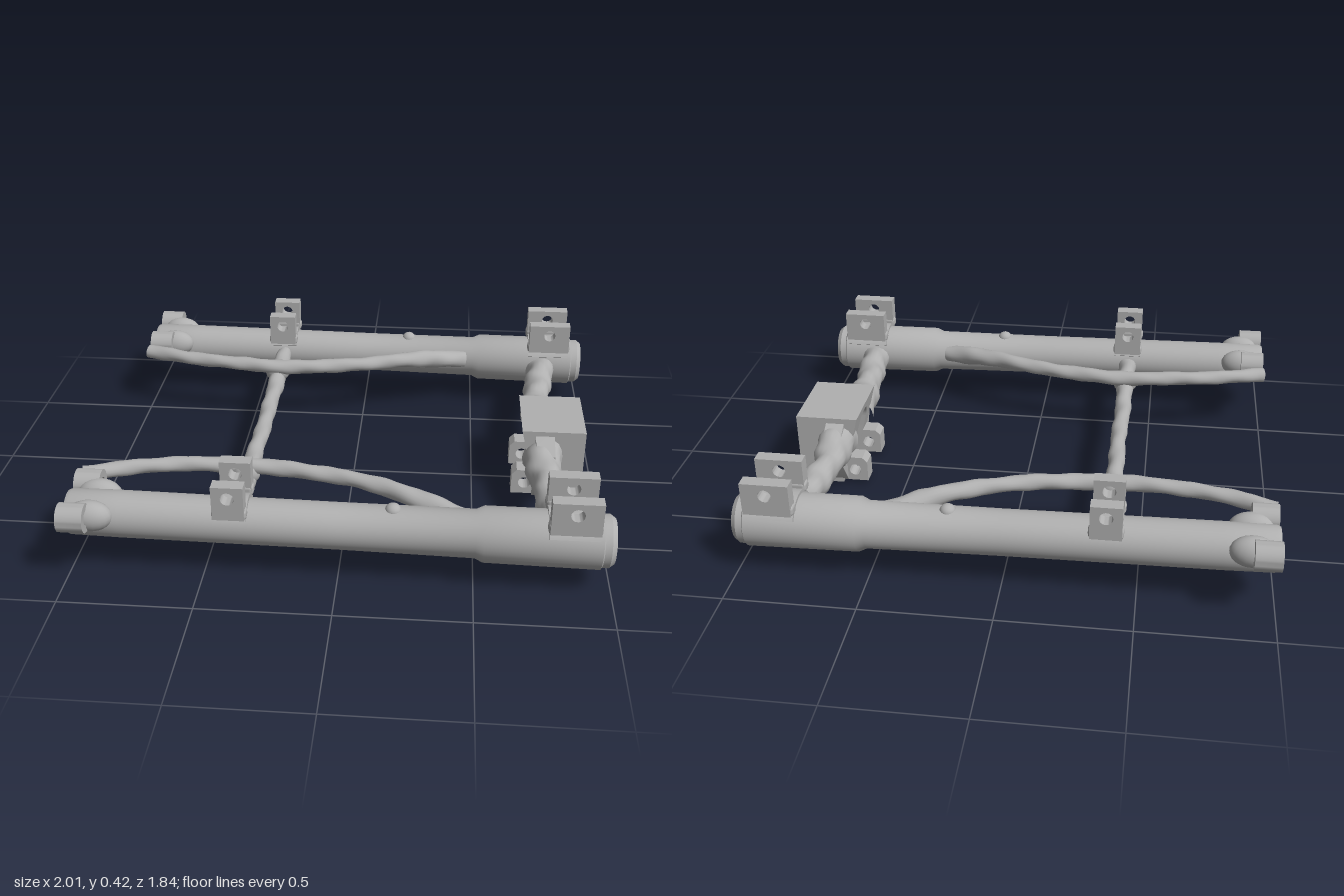
import * as THREE from 'three';
import { mergeVertices, toCreasedNormals } from 'three/addons/utils/BufferGeometryUtils.js';
import { RoundedBoxGeometry } from 'three/addons/geometries/RoundedBoxGeometry.js';

const grey = new THREE.MeshStandardMaterial({ color: 0xb0b0b0 });
grey.name = 'castGrey';

const TILT = 0.0135;
const railY = (x) => 0.209 - TILT * x;

function add(parent, name, geometry, x = 0, y = 0, z = 0) {
  const mesh = new THREE.Mesh(geometry, grey);
  mesh.name = name;
  mesh.position.set(x, y, z);
  parent.add(mesh);
  return mesh;
}

// Outline from [u, v] pairs
const polygon = (pts) => new THREE.Shape(pts.map(([u, v]) => new THREE.Vector2(u, v)));

function roundHole(shape, u, v, r) {
  shape.holes.push(new THREE.Path().absarc(u, v, r, 0, Math.PI * 2, true));
  return shape;
}

function extrude(shape, depth) {
  const g = new THREE.ExtrudeGeometry(shape, { depth, bevelEnabled: false, curveSegments: 20 });
  return toCreasedNormals(g, 0.6);
}

// Extrusion along x; the outline's u axis becomes -z
function extrudeX(shape, x0, x1) {
  return extrude(shape, x1 - x0).rotateY(Math.PI / 2).translate(x0, 0, 0);
}

// Uneven organic tube through [x, y, z, radius] stations
function lumpyTube(stations, amount, seed) {
  const curve = new THREE.CatmullRomCurve3(stations.map(([x, y, z]) => new THREE.Vector3(x, y, z)));
  const steps = 72, sides = 18;
  const g = new THREE.TubeGeometry(curve, steps, 1, sides, false);
  const p = g.attributes.position, n = g.attributes.normal;
  const length = curve.getLength();
  for (let i = 0; i <= steps; i++) {
    // the tube spaces its rings by arc length
    const t = curve.getUtoTmapping(i / steps) * (stations.length - 1);
    const k = Math.min(Math.floor(t), stations.length - 2);
    const r = THREE.MathUtils.lerp(stations[k][3], stations[k + 1][3], t - k);
    const d = (i / steps) * length;
    for (let j = 0; j <= sides; j++) {
      const a = (j / sides) * Math.PI * 2, id = i * (sides + 1) + j;
      const lump = Math.sin(d * 31 + 2 * a + seed) + 0.7 * Math.sin(d * 53 - 3 * a + seed * 2.3)
        + 0.5 * Math.sin(d * 17 + a + seed * 4.1);
      const shift = r * (1 + amount * lump) - 1;
      p.setXYZ(id, p.getX(id) + n.getX(id) * shift, p.getY(id) + n.getY(id) * shift, p.getZ(id) + n.getZ(id) * shift);
    }
  }
  g.deleteAttribute('normal');
  g.deleteAttribute('uv');
  const merged = mergeVertices(g, 1e-5);
  merged.computeVertexNormals();
  return merged;
}

// Hollow side rail with a thicker sleeve and a chamfered collar
function addRail(group, z) {
  const profile = [
    [0.058, -1], [0.08, -1], [0.086, -0.985], [0.088, -0.8], [0.087, 0], [0.09, 0.5],
    [0.104, 0.53], [0.106, 0.95], [0.098, 0.955], [0.098, 0.98], [0.085, 0.998],
    [0.062, 0.998], [0.058, 0.99], [0.058, -1],
  ].map(([r, h]) => new THREE.Vector2(r, h));
  const geo = toCreasedNormals(new THREE.LatheGeometry(profile, 40), 0.5);
  const rail = add(group, 'sideRail', geo, 0, 0.209, z);
  rail.rotation.z = -Math.PI / 2 - TILT;

  const knob = add(group, 'railKnob', new THREE.SphereGeometry(0.03, 16, 12), 0.2, railY(0.2) + 0.081, z);
  knob.scale.set(1, 0.9, 1);
}

// Drilled ears at the narrow end of a rail
function addEndLugs(group, z) {
  for (const side of [-1, 1]) {
    const lugZ = z + side * 0.119, lugY = 0.272;
    const ear = roundHole(new THREE.Shape().absarc(0, 0, 0.054, 0, Math.PI * 2), 0, 0, 0.025);
    add(group, 'endLug', extrudeX(ear, -0.998, -0.9), 0, lugY, lugZ);
    // Blend between ear and rail
    const blend = add(group, 'lugBlend', new THREE.SphereGeometry(1, 20, 14), -0.9, 0.255, z + side * 0.075);
    blend.scale.set(0.085, 0.06, 0.052);
    const fillet = polygon([[-side * 0.03, 0.035], [-side * 0.085, 0.02], [-side * 0.1, -0.03], [-side * 0.07, -0.06]]);
    add(group, 'lugWeb', extrudeX(fillet, -0.995, -0.905), 0, 0.255, z);
  }
}

// Twin-tab bracket on a saddle over the rail
function addBracket(group, x, z, width, top, saddleR) {
  const bracket = new THREE.Group();
  bracket.name = 'mountBracket';
  group.add(bracket);
  const h = width / 2, y = railY(x);

  const saddle = new THREE.Shape();
  const a0 = Math.PI * 0.17, a1 = Math.PI * 0.83;
  saddle.absarc(0, 0, saddleR, a0, a1, false);
  saddle.absarc(0, 0, saddleR - 0.035, a1, a0, true);
  add(bracket, 'saddle', extrudeX(saddle, x - h, x + h), 0, y, z);

  for (const side of [-1, 1]) {
    const tab = polygon([[-h, 0.285], [h, 0.285], [h, top], [-h, top]]);
    roundHole(tab, 0, top - 0.046, 0.025);
    add(bracket, 'tab', extrude(tab, 0.052), x, 0, z + side * 0.087 - 0.026);
    const foot = new RoundedBoxGeometry(width + 0.012, 0.045, 0.05, 3, 0.016);
    add(bracket, 'tabFoot', foot, x, 0.301, z + side * 0.083);
  }
}

// Square housing with an arched passage and a sloping inner end
function addHousing(group) {
  const housing = new THREE.Group();
  housing.name = 'housing';
  group.add(housing);

  const outline = polygon([[-0.15, 0], [0.165, 0], [0.165, 0.305], [-0.15, 0.305]]);
  const arch = new THREE.Path();
  arch.moveTo(-0.073, 0.022);
  arch.lineTo(-0.073, 0.195);
  arch.absarc(0, 0.195, 0.073, Math.PI, 0, true);
  arch.lineTo(0.073, 0.022);
  arch.closePath();
  outline.holes.push(arch);
  const geo = extrudeX(outline, 0.69, 0.945);
  const p = geo.attributes.position;
  for (let i = 0; i < p.count; i++) {
    if (p.getX(i) < 0.7) p.setX(i, 0.69 + 0.075 * (1 - p.getY(i) / 0.305));
  }
  add(housing, 'housingBody', toCreasedNormals(geo, 0.6));

  // Drilled ears low on the inner end
  for (const z of [-0.16, 0.075]) {
    const ear = new THREE.Shape();
    ear.moveTo(0.79, 0.012);
    ear.lineTo(0.79, 0.12);
    ear.lineTo(0.68, 0.12);
    ear.lineTo(0.66, 0.1);
    ear.lineTo(0.66, 0.012);
    ear.closePath();
    add(housing, 'housingEar', extrude(roundHole(ear, 0.713, 0.062, 0.025), 0.07), 0, 0, z);
  }
}

export function createModel() {
  const model = new THREE.Group();
  model.name = 'chassisFrame';

  for (const [s, z] of [[1, 0.74], [-1, -0.75]]) {
    addRail(model, z);
    addEndLugs(model, z);
    addBracket(model, -0.383, z, 0.116, 0.42, 0.102);
    addBracket(model, 0.845, z, 0.18, 0.415, 0.118);

    // Bowed brace along the inside of the rail
    const bow = [
      [-0.998, 0.262, 0.55, 0.031], [-0.8, 0.268, 0.487, 0.029], [-0.6, 0.268, 0.452, 0.029],
      [-0.38, 0.262, 0.438, 0.032], [-0.15, 0.262, 0.462, 0.031], [0.05, 0.262, 0.51, 0.03],
      [0.22, 0.255, 0.575, 0.035], [0.33, 0.24, 0.625, 0.042], [0.46, 0.22, 0.675, 0.035],
    ].map(([x, y, w, r]) => [x, y, s * w - 0.006, r]);
    add(model, 'bowedBrace', lumpyTube(bow, 0.05, s * 1.7));

    // Heavy arm from the rail to the housing
    const arm = [
      [0.81, 0.19, 0.7, 0.064], [0.805, 0.187, 0.58, 0.06], [0.79, 0.185, 0.46, 0.057],
      [0.775, 0.188, 0.34, 0.056], [0.775, 0.192, 0.23, 0.07], [0.785, 0.185, 0.13, 0.085],
    ].map(([x, y, w, r]) => [x, y, s * w, r]);
    add(model, 'crossArm', lumpyTube(arm, 0.07, s * 2.9 + 1));

    // Gusset flaring down the housing wall
    const gusset = polygon([
      [-s * 0.14, 0.012], [-s * 0.16, 0.012], [-s * 0.235, 0.125], [-s * 0.235, 0.24], [-s * 0.16, 0.285], [-s * 0.14, 0.285],
    ]);
    add(model, 'armGusset', extrudeX(gusset, 0.745, 0.82));
  }

  // Slim cross bar between the rails
  const bar = [
    [-0.385, 0.215, 0.7, 0.038], [-0.385, 0.21, 0.46, 0.038], [-0.387, 0.2, 0.3, 0.034],
    [-0.383, 0.2, 0, 0.032], [-0.385, 0.2, -0.3, 0.034], [-0.383, 0.21, -0.46, 0.038], [-0.385, 0.215, -0.7, 0.036],
  ];
  add(model, 'crossBar', lumpyTube(bar, 0.06, 0.6));

  // Joints where the braces meet the cross bar
  for (const z of [0.445, -0.45]) {
    const joint = add(model, 'braceJoint', new THREE.SphereGeometry(1, 18, 12), -0.385, 0.238, z);
    joint.scale.set(0.055, 0.05, 0.036);
  }

  addHousing(model);
  return model;
}
